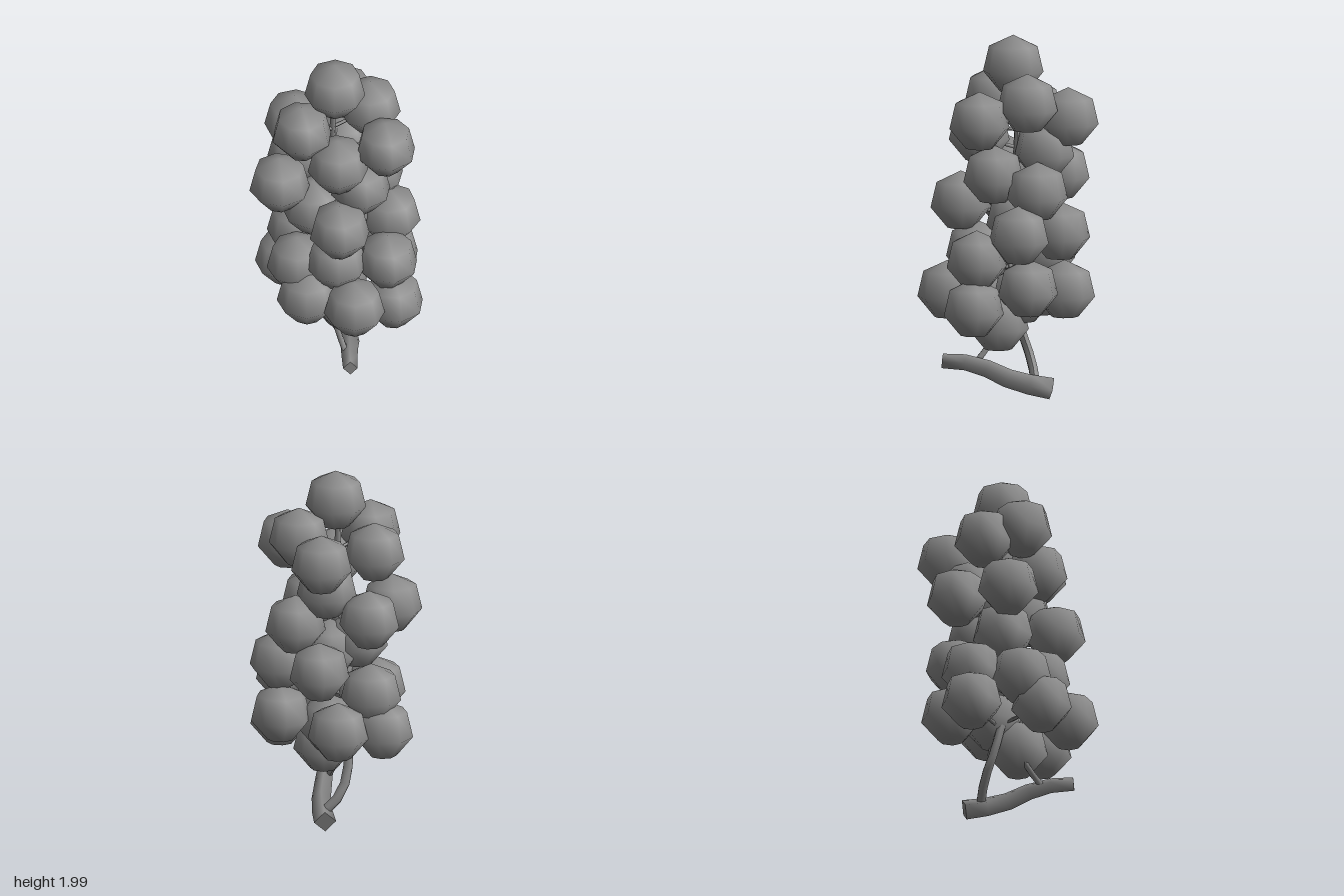
import * as THREE from 'three';

const R = 0.164;

// Berry centres, bottom to top
const BERRIES = [
  [0.065, 0.43, 0.05], [0.3, 0.54, 0.18], [-0.255, 0.58, -0.2], [0.075, 0.61, 0.325],
  [0.03, 0.58, -0.08], [-0.17, 0.6, 0.18], [-0.01, 0.6, -0.31], [0.3, 0.65, -0.115],
  [-0.215, 0.75, 0.07], [-0.19, 0.79, -0.2], [0.27, 0.8, 0.165], [-0.01, 0.82, 0.17],
  [0.305, 0.94, -0.065], [0.09, 0.935, -0.285], [0.03, 1.0, -0.05], [-0.12, 1.05, -0.03],
  [0, 1.09, 0.255], [0.22, 1.17, -0.165], [-0.18, 1.23, -0.28], [-0.305, 1.24, 0],
  [0.13, 1.25, 0.075], [0.05, 1.38, -0.2], [0, 1.46, 0.155], [0.26, 1.56, 0.15],
  [-0.21, 1.57, -0.13], [0.08, 1.56, -0.33], [-0.19, 1.64, 0.075], [0.2, 1.65, -0.11],
  [0, 1.836, -0.03],
];

// Faceted ball: an eight-sided lathe of a seven-cornered outline, smoothly shaded
function berryGeometry() {
  const outline = [new THREE.Vector2(0, -R * Math.cos(Math.PI / 7))];
  for (let i = 3; i >= 0; i--) {
    const a = (i * 2 * Math.PI) / 7;
    outline.push(new THREE.Vector2(i ? 1.035 * R * Math.sin(a) : 0, R * Math.cos(a)));
  }
  const geo = new THREE.LatheGeometry(outline, 8);
  const pos = geo.attributes.position;
  const v = new THREE.Vector3();
  // Normals run out from the height of the widest ring
  for (let i = 0; i < pos.count; i++) {
    v.fromBufferAttribute(pos, i);
    v.y -= outline[2].y;
    v.normalize();
    geo.attributes.normal.setXYZ(i, v.x, v.y, v.z);
  }
  return geo;
}

// Capped, tapered stalk bent along a curve through the given points
function stalk(name, points, r0, r1, sides, steps, material) {
  const curve = new THREE.CatmullRomCurve3(points.map((p) => new THREE.Vector3(...p)));
  const frames = curve.computeFrenetFrames(steps);
  const geo = new THREE.CylinderGeometry(1, 1, 1, sides, steps);
  const pos = geo.attributes.position;
  for (let i = 0; i < pos.count; i++) {
    const t = pos.getY(i) + 0.5;
    const k = Math.round(t * steps);
    const r = r0 + (r1 - r0) * t;
    const p = curve.getPointAt(k / steps)
      .addScaledVector(frames.normals[k], pos.getX(i) * r)
      .addScaledVector(frames.binormals[k], -pos.getZ(i) * r);
    pos.setXYZ(i, p.x, p.y, p.z);
  }
  geo.computeVertexNormals();
  const mesh = new THREE.Mesh(geo, material);
  mesh.name = name;
  return mesh;
}

export function createModel() {
  const model = new THREE.Group();
  model.name = 'berryCluster';
  const darkGrey = new THREE.MeshStandardMaterial({ color: 0x8a8a8a });

  // Berries, each turned a little
  const berries = new THREE.Group();
  berries.name = 'berries';
  const geo = berryGeometry();
  BERRIES.forEach((p, i) => {
    const berry = new THREE.Mesh(geo, darkGrey);
    berry.name = 'berry';
    berry.position.set(...p);
    berry.rotation.y = 0.2 * Math.sin(i * 2);
    berries.add(berry);
  });
  model.add(berries);

  // Woody branch at the foot
  model.add(stalk('branch',
    [[0.05, 0.215, 0.355], [0.06, 0.2, 0.18], [0.08, 0.11, -0.04], [0.06, 0.065, -0.24]],
    0.04, 0.06, 4, 5, darkGrey));

  // Central stem and the side shoot that joins it
  const spine = [
    [0.06, 0.1, -0.15], [-0.03, 0.2, -0.13], [-0.07, 0.38, -0.07], [-0.04, 0.75, 0],
    [0, 1.1, -0.02], [-0.01, 1.4, -0.05], [-0.01, 1.72, -0.04],
  ];
  model.add(stalk('mainStem', spine, 0.028, 0.016, 6, 18, darkGrey));
  model.add(stalk('sideShoot',
    [[0.04, 0.2, 0.18], [0, 0.3, 0.1], [-0.04, 0.5, 0.02]], 0.018, 0.014, 5, 5, darkGrey));

  // Short stalks from the stem to the berries
  const stemAt = (y) => {
    const k = Math.max(1, spine.findIndex((p) => p[1] >= y));
    const [a, b] = [spine[k - 1], spine[k]];
    return new THREE.Vector3(...a).lerp(new THREE.Vector3(...b), (y - a[1]) / (b[1] - a[1]));
  };
  const pedicels = new THREE.Group();
  pedicels.name = 'berryStalks';
  for (const [x, y, z] of BERRIES.slice(0, -1)) {
    const s = stemAt(Math.max(0.4, y - 0.08));
    const mid = [(s.x + x) / 2, (s.y + y) / 2 - 0.01, (s.z + z) / 2];
    pedicels.add(stalk('berryStalk', [s.toArray(), mid, [x, y, z]], 0.011, 0.009, 5, 3, darkGrey));
  }
  model.add(pedicels);
  return model;
}
